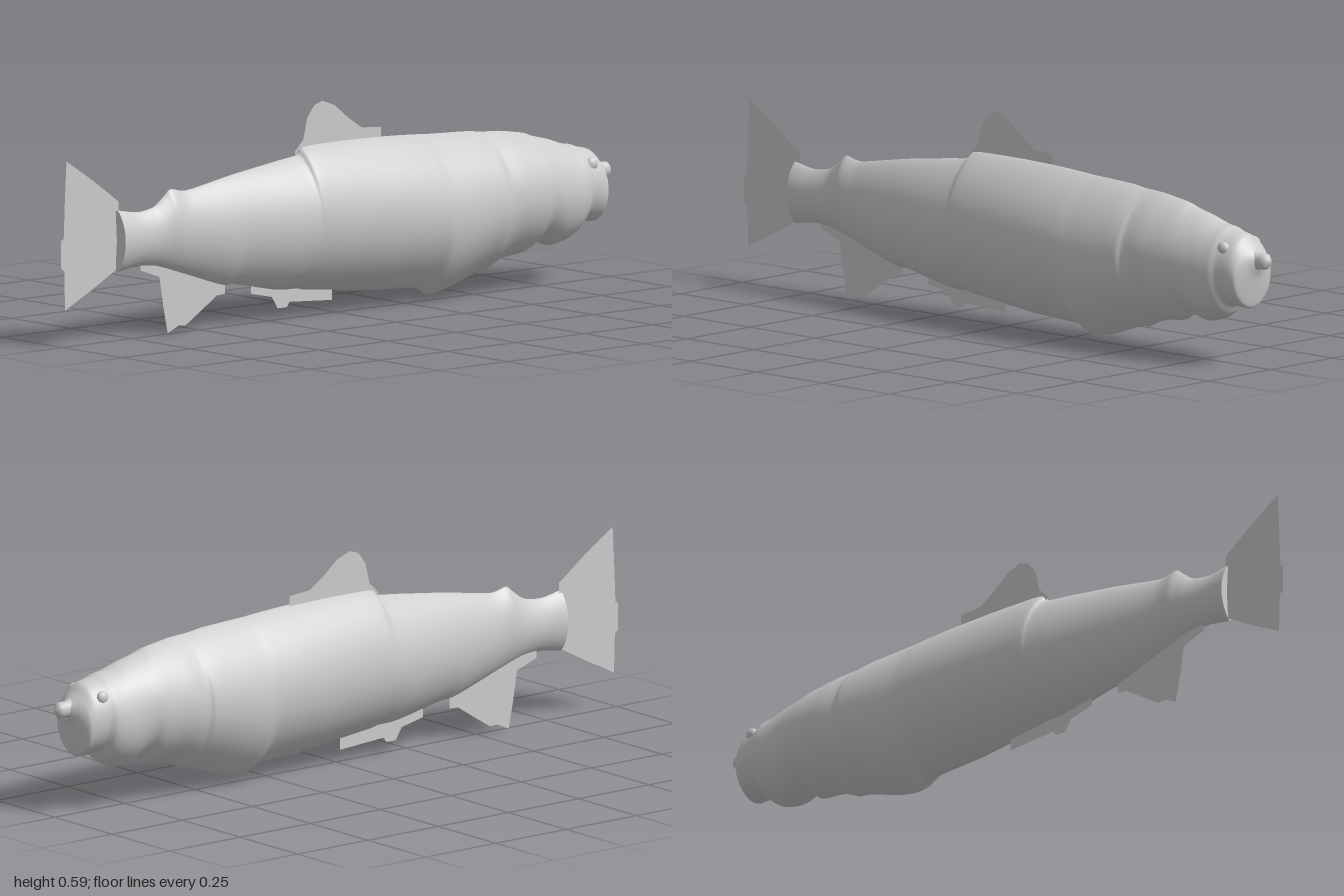
import * as THREE from 'three';

const grey = new THREE.MeshStandardMaterial({ color: 0xcccccc });
grey.name = 'grey';
const finGrey = new THREE.MeshStandardMaterial({ color: 0xcccccc, side: THREE.DoubleSide });
finGrey.name = 'fin grey';

// Body stations: x, top y, bottom y, half width
const stations = [
  [-0.8, 0.362, 0.19, 0.035], [-0.73, 0.35, 0.2, 0.032], [-0.67, 0.358, 0.196, 0.034], [-0.63, 0.385, 0.186, 0.038],
  [-0.605, 0.402, 0.178, 0.042], [-0.55, 0.393, 0.16, 0.046], [-0.42, 0.414, 0.118, 0.064], [-0.37, 0.422, 0.114, 0.07],
  [-0.22, 0.442, 0.084, 0.092], [-0.145, 0.452, 0.08, 0.101], [-0.12, 0.472, 0.075, 0.105], [0, 0.475, 0.062, 0.114],
  [0.1, 0.474, 0.05, 0.121], [0.2, 0.471, 0.045, 0.126], [0.29, 0.466, 0.038, 0.128], [0.33, 0.463, 0.015, 0.13],
  [0.4, 0.46, 0.026, 0.13], [0.48, 0.456, 0.052, 0.127], [0.525, 0.45, 0.064, 0.125], [0.545, 0.449, 0.066, 0.118],
  [0.6, 0.445, 0.09, 0.118], [0.68, 0.432, 0.101, 0.113], [0.715, 0.42, 0.125, 0.108], [0.77, 0.406, 0.11, 0.103],
  [0.82, 0.389, 0.12, 0.099], [0.85, 0.384, 0.138, 0.094], [0.87, 0.376, 0.165, 0.085], [0.91, 0.366, 0.163, 0.08],
  [0.93, 0.345, 0.165, 0.074], [0.94, 0.335, 0.2, 0.058], [0.95, 0.325, 0.25, 0.035], [0.958, 0.318, 0.272, 0.02],
];

// Lens-shaped cross-section, becoming rounder towards the head
function sectionPoint(x, top, bottom, width, a) {
  const round = THREE.MathUtils.smoothstep(x, 0.55, 0.9);
  const power = THREE.MathUtils.lerp(1.6, 1.05, round);
  const c = Math.cos(a);
  return [x, (top + bottom) / 2 + Math.sin(a) * (top - bottom) / 2,
    Math.sign(c) * Math.pow(Math.abs(c), power) * width];
}

function bodyGeometry() {
  const sides = 64, rings = 186;
  const topCurve = new THREE.CatmullRomCurve3(stations.map(s => new THREE.Vector3(s[0], s[1], s[3])), false, 'catmullrom', 0.4);
  const lowCurve = new THREE.CatmullRomCurve3(stations.map(s => new THREE.Vector3(s[0], s[2], s[3])), false, 'catmullrom', 0.4);
  const pos = [], index = [];
  for (let i = 0; i <= rings; i++) {
    const t = topCurve.getPoint(i / rings), b = lowCurve.getPoint(i / rings);
    for (let j = 0; j < sides; j++) pos.push(...sectionPoint(t.x, t.y, b.y, t.z, j / sides * Math.PI * 2));
  }
  for (let i = 0; i < rings; i++) {
    for (let j = 0; j < sides; j++) {
      const a = i * sides + j, b = i * sides + (j + 1) % sides;
      index.push(a, a + sides, b, b, a + sides, b + sides);
    }
  }
  // Flat cap where the tail fin joins
  const centre = pos.length / 3;
  const [x, top, bottom, width] = stations[0];
  pos.push(x + 0.005, (top + bottom) / 2, 0);
  for (let j = 0; j < sides; j++) pos.push(...sectionPoint(x, top, bottom, width, j / sides * Math.PI * 2));
  for (let j = 0; j < sides; j++) index.push(centre, centre + 1 + j, centre + 1 + (j + 1) % sides);
  const g = new THREE.BufferGeometry();
  g.setAttribute('position', new THREE.Float32BufferAttribute(pos, 3));
  g.setIndex(index);
  g.computeVertexNormals();
  return g;
}

// Thin fin sheet, set slightly to one side
function fin(name, outline) {
  const shape = new THREE.Shape(outline.map(p => new THREE.Vector2(p[0], p[1])));
  const mesh = new THREE.Mesh(new THREE.ShapeGeometry(shape), finGrey);
  mesh.name = name;
  mesh.position.z = -0.007;
  return mesh;
}

export function createModel() {
  const fish = new THREE.Group();
  fish.name = 'fish';

  const body = new THREE.Mesh(bodyGeometry(), grey);
  body.name = 'body';
  fish.add(body);

  // Pointed nose on the blunt face
  const noseProfile = [[0.036, 0.935], [0.027, 0.95], [0.022, 0.96], [0.023, 0.972], [0.022, 0.985], [0.014, 0.993], [0, 0.997]]
    .map(p => new THREE.Vector2(p[0], p[1]));
  const nose = new THREE.Mesh(new THREE.LatheGeometry(noseProfile, 24), grey);
  nose.name = 'nose';
  nose.rotation.z = -Math.PI / 2;
  nose.position.y = 0.3;
  nose.scale.z = 0.85;
  fish.add(nose);

  // Bulging eyes
  for (const side of [-1, 1]) {
    const eye = new THREE.Mesh(new THREE.SphereGeometry(0.019, 20, 14), grey);
    eye.name = side > 0 ? 'rightEye' : 'leftEye';
    eye.position.set(0.88, 0.332, side * 0.062);
    eye.scale.z = 0.7;
    fish.add(eye);
  }

  fish.add(
    fin('tailFin', [[-0.79, 0.385], [-0.88, 0.45], [-0.98, 0.515], [-0.986, 0.4], [-0.99, 0.3], [-1, 0.295], [-1, 0.22],
      [-0.988, 0.21], [-0.985, 0.1], [-0.88, 0.152], [-0.79, 0.2]]),
    fin('dorsalFin', [[-0.14, 0.43], [-0.145, 0.46], [-0.115, 0.49], [-0.1, 0.55], [-0.075, 0.582], [-0.045, 0.592],
      [0, 0.575], [0.05, 0.535], [0.1, 0.503], [0.17, 0.498], [0.17, 0.45]]),
    fin('analFin', [[-0.71, 0.22], [-0.71, 0.185], [-0.64, 0.16], [-0.625, 0.07], [-0.61, 0], [-0.57, 0.018],
      [-0.545, 0.016], [-0.49, 0.05], [-0.43, 0.088], [-0.4, 0.09], [-0.4, 0.15], [-0.55, 0.2]]),
    fin('pelvicFin', [[-0.305, 0.13], [-0.305, 0.08], [-0.23, 0.064], [-0.208, 0.03], [-0.175, 0.03], [-0.165, 0.044],
      [-0.01, 0.034], [-0.01, 0.09]]),
  );
  return fish;
}
